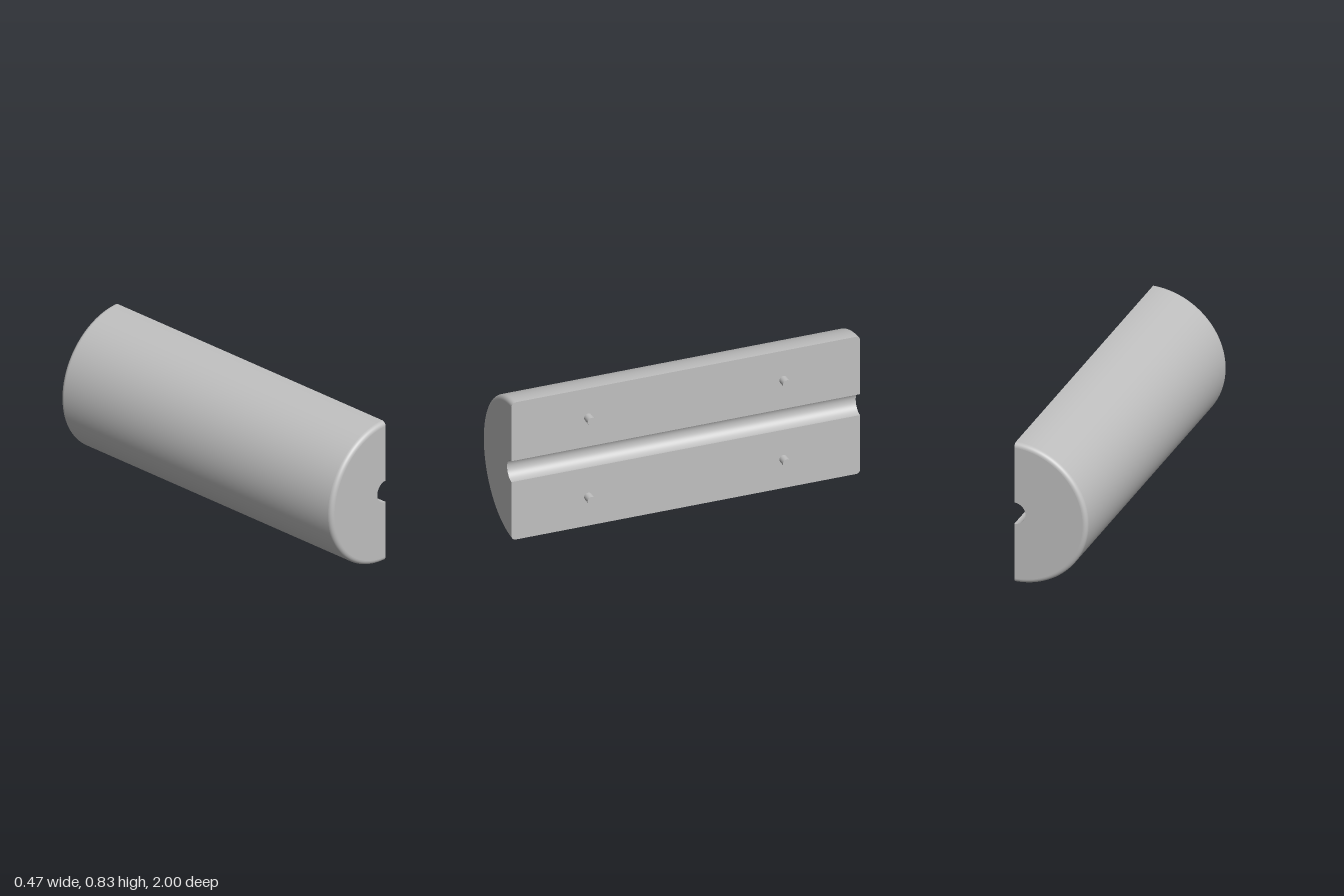
import * as THREE from 'three';
import { mergeGeometries } from 'three/addons/utils/BufferGeometryUtils.js';

const CX = 0.182, CY = 0.4165; // axis of the half cylinder
const R = 0.4165, BORE = 0.0635, FILLET = 0.025, HALF = 1;

export function createModel() {
  const grey = new THREE.MeshStandardMaterial({ color: 0xc0c0c0 });
  grey.name = 'light grey';
  const model = new THREE.Group();
  model.name = 'halfCylinderBlock';

  const add = (name, geometry, x = CX, y = CY, z = 0) => {
    const mesh = new THREE.Mesh(geometry, grey);
    mesh.name = name;
    mesh.position.set(x, y, z);
    model.add(mesh);
  };

  // Half-turn surface about z, on the -x side, from (radius, z) pairs
  const halfTurn = (pairs, segments = 96) =>
    new THREE.LatheGeometry(pairs.map(([r, z]) => new THREE.Vector2(r, z)), segments, Math.PI, Math.PI)
      .rotateX(Math.PI / 2);

  // Quarter-round edge at either end
  const fillet = (start, centreZ) => Array.from({ length: 9 }, (_, i) => {
    const a = start + (i / 8) * Math.PI / 2;
    return [R - FILLET + FILLET * Math.cos(a), centreZ + FILLET * Math.sin(a)];
  });
  const inner = HALF - FILLET;

  // Curved shell with rounded end edges
  add('outerShell', mergeGeometries([
    halfTurn(fillet(-Math.PI / 2, -inner)),
    halfTurn([[R, -inner], [R, inner]]),
    halfTurn(fillet(0, inner)),
  ]));

  // Flat ends and the half-round channel
  add('endFaces', mergeGeometries([
    halfTurn([[BORE, -HALF], [R - FILLET, -HALF]]),
    halfTurn([[R - FILLET, HALF], [BORE, HALF]]),
  ]));
  add('channel', halfTurn([[BORE, HALF], [BORE, -HALF]], 48));

  // Flat mating faces above and below the channel
  const outline = new THREE.Shape();
  outline.moveTo(-HALF, BORE);
  outline.lineTo(HALF, BORE);
  outline.lineTo(HALF, R - FILLET);
  outline.absarc(inner, R - FILLET, FILLET, 0, Math.PI / 2);
  outline.lineTo(-inner, R);
  outline.absarc(-inner, R - FILLET, FILLET, Math.PI / 2, Math.PI);
  outline.closePath();
  const face = new THREE.ShapeGeometry(outline, 8).rotateY(Math.PI / 2);
  add('upperMatingFace', face);
  add('lowerMatingFace', face.clone().rotateX(Math.PI));

  // Four locating pegs
  const pegGeometry = new THREE.CylinderGeometry(0.0235, 0.0235, 0.06, 32).rotateZ(-Math.PI / 2);
  for (const sy of [-1, 1]) {
    for (const sz of [-1, 1]) {
      add('locatingPeg', pegGeometry, CX + 0.021, CY + sy * 0.24, sz * 0.56);
    }
  }
  return model;
}
